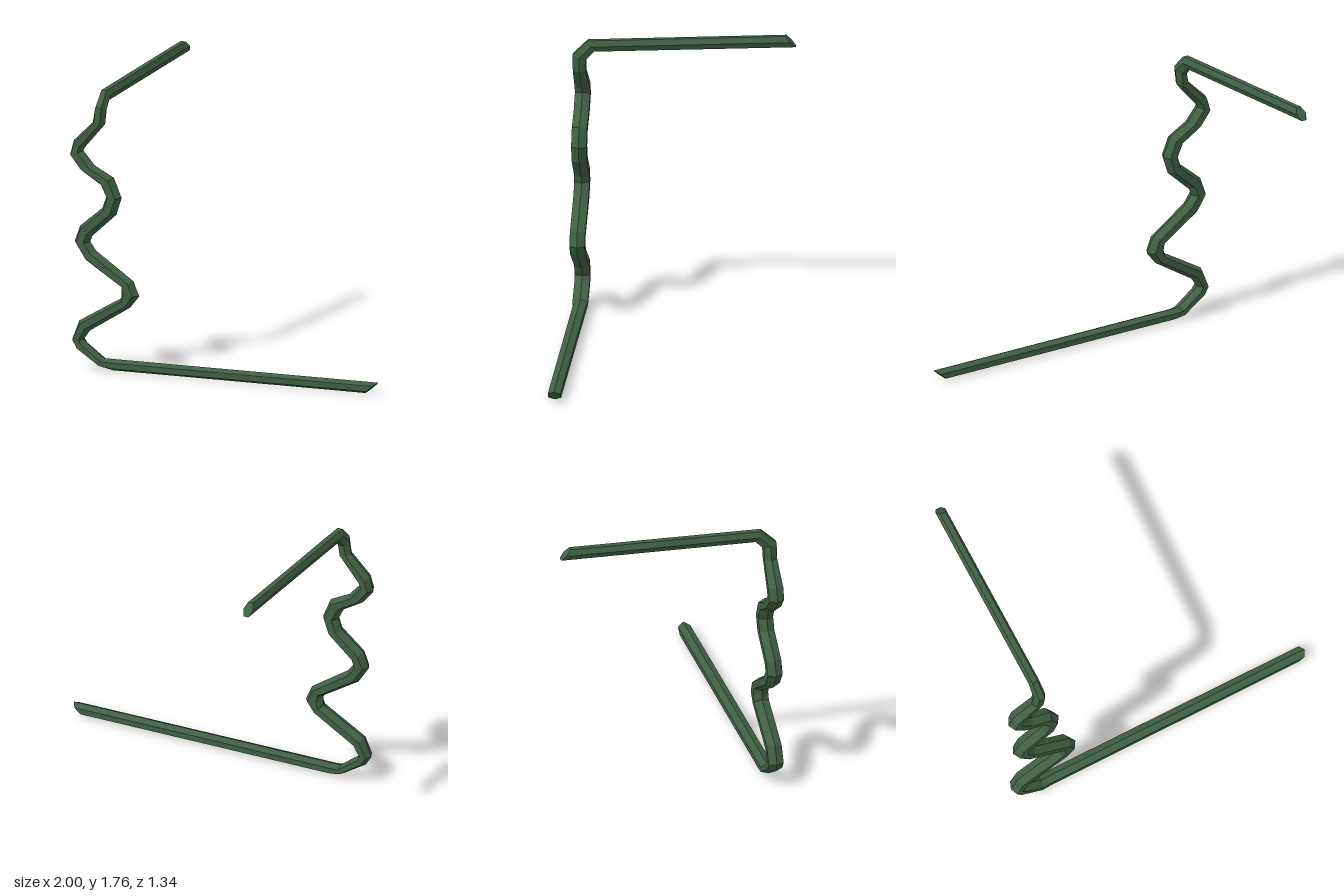
import * as THREE from 'three';

const SIDES = 6;

// Each ring: two opposite edge points (ax, ay, bx, by), then optionally
// its centre z and the half-width vector (y, z) across them.
const FLOOR_RUN = [
  [1.00, 0.073, 0.92, 0.003, 0.618, 0, 0.038],
  [-0.75, 0.072, -0.72, 0.003, 0.622, 0, 0.04],
  [-0.78, 0.072, -0.80, 0.02],
];
const ZIGZAG = [
  [-0.895, 0.16, -0.95, 0.115],
  [-0.91, 0.18, -0.985, 0.175],
  [-0.87, 0.235, -0.94, 0.29],
  [-0.61, 0.395, -0.665, 0.45],
  [-0.55, 0.47, -0.665, 0.48],
  [-0.59, 0.56, -0.665, 0.515],
  [-0.83, 0.725, -0.90, 0.665],
  [-0.87, 0.775, -0.97, 0.775],
  [-0.855, 0.815, -0.935, 0.87],
  [-0.70, 0.955, -0.79, 0.99],
  [-0.665, 1.06, -0.765, 1.06],
  [-0.715, 1.18, -0.80, 1.13],
  [-0.84, 1.245, -0.93, 1.21],
  [-0.915, 1.33, -1.00, 1.30],
  [-0.905, 1.35, -0.975, 1.39],
];
const TOP_RUN = [
  [-0.77, 1.505, -0.85, 1.51, 0.63, 0, 0.039],
  [-0.76, 1.595, -0.835, 1.595, 0.63, 0.015, 0.04],
  [-0.765, 1.667, -0.832, 1.667, 0.56, 0.033, 0.02],
  [-0.765, 1.732, -0.83, 1.732, -0.64, 0.033, 0.03],
];

// Joins the rings into a six-sided tube with slanted, closed ends
function bentTube(rings) {
  const pos = [];
  const index = [];
  for (const [ax, ay, bx, by, cz = 0.624, sy = 0, sz = 0.046] of rings) {
    for (let j = 0; j < SIDES; j++) {
      const a = (j / SIDES) * Math.PI * 2;
      const c = Math.cos(a) / 2;
      const s = Math.sin(a) / Math.sin(Math.PI / 3);
      pos.push(
        (ax + bx) / 2 + c * (ax - bx),
        (ay + by) / 2 + c * (ay - by) + s * sy,
        cz + s * sz
      );
    }
  }
  const last = (rings.length - 1) * SIDES;
  for (let i = 0; i < last; i += SIDES) {
    for (let j = 0; j < SIDES; j++) {
      const a = i + j;
      const b = i + ((j + 1) % SIDES);
      index.push(a, a + SIDES, b, b, a + SIDES, b + SIDES);
    }
  }
  // end caps
  for (let j = 1; j < SIDES - 1; j++) {
    index.push(0, j, j + 1, last, last + j + 1, last + j);
  }
  const geo = new THREE.BufferGeometry();
  geo.setAttribute('position', new THREE.Float32BufferAttribute(pos, 3));
  geo.setIndex(index);
  const flat = geo.toNonIndexed();
  flat.computeVertexNormals();
  return flat;
}

export function createModel() {
  const group = new THREE.Group();
  const material = new THREE.MeshStandardMaterial({ color: 0x3f5f42, flatShading: true });
  const vine = new THREE.Mesh(bentTube([...FLOOR_RUN, ...ZIGZAG, ...TOP_RUN]), material);
  vine.name = 'bentVine';
  group.add(vine);
  return group;
}
